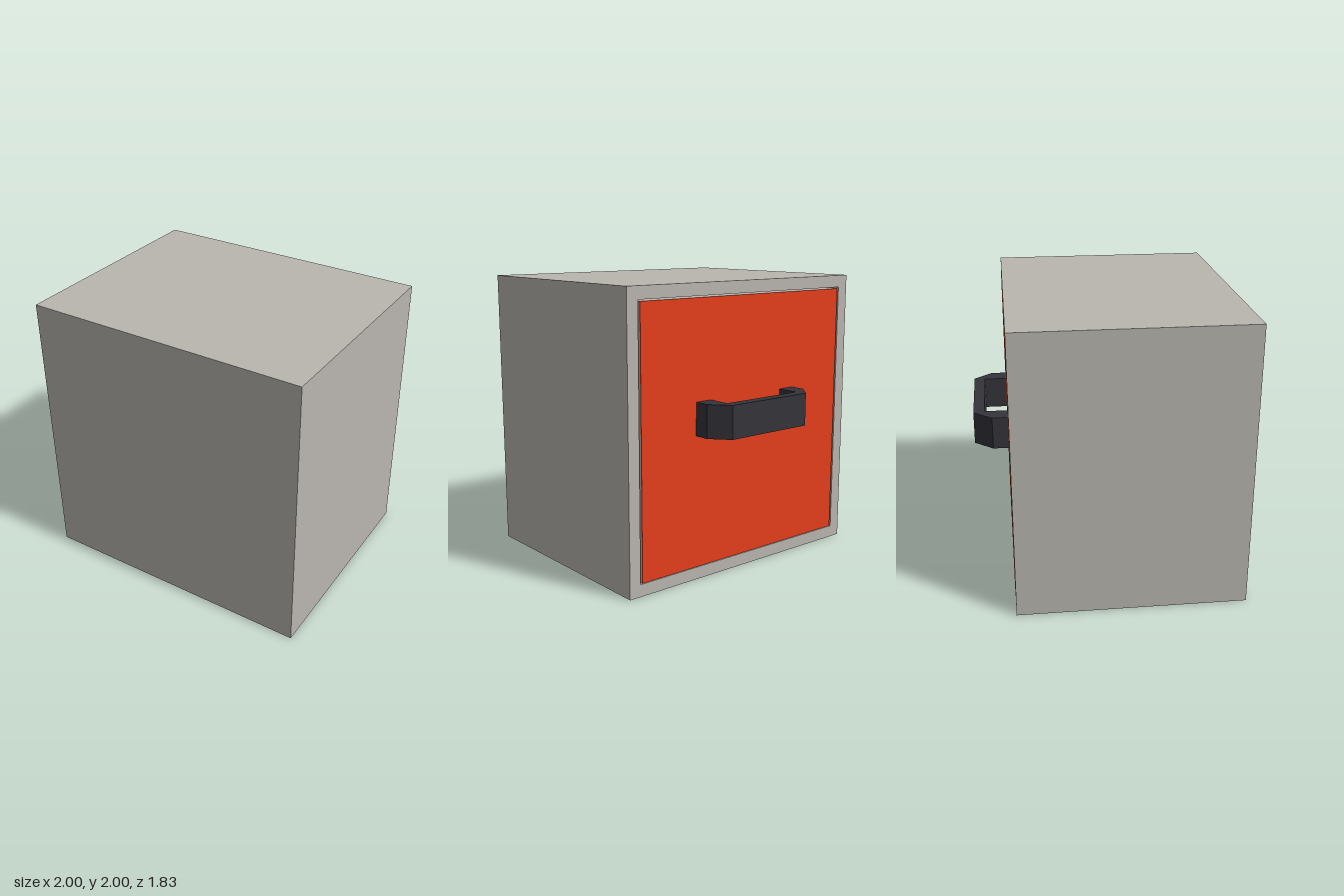
import * as THREE from 'three';

const FACE = -0.678; // plane of the drawer side
const FRONT = 0.914;

const rect = (Type, x, y0, y1) => {
  const path = new Type();
  path.moveTo(-x, y0);
  path.lineTo(x, y0);
  path.lineTo(x, y1);
  path.lineTo(-x, y1);
  path.closePath();
  return path;
};

export function createModel() {
  const group = new THREE.Group();
  const bodyGrey = new THREE.MeshStandardMaterial({ name: 'bodyGrey', color: 0xb9b6b0 });
  const drawerRed = new THREE.MeshStandardMaterial({ name: 'drawerRed', color: 0xe63e1b });
  const handleDark = new THREE.MeshStandardMaterial({ name: 'handleDark', color: 0x34343a });

  const add = (name, geometry, material) => {
    const mesh = new THREE.Mesh(geometry, material);
    mesh.name = name;
    group.add(mesh);
    return mesh;
  };

  // Cabinet: an open sleeve closed by a flush front plate
  const wall = rect(THREE.Shape, 1, 0, 2);
  wall.holes.push(rect(THREE.Path, 0.915, 0.085, 1.915));
  const sleeve = new THREE.ExtrudeGeometry(wall, { depth: FRONT - FACE, bevelEnabled: false });
  add('cabinetShell', sleeve.translate(0, 0, FACE), bodyGrey);
  const wallThickness = 0.085;
  add('cabinetFront', new THREE.BoxGeometry(1.83, 1.83, wallThickness), bodyGrey)
    .position.set(0, 1, FRONT - wallThickness / 2);

  // Grey drawer box in the opening, faced with a thin red panel just proud of the rim
  const depth = 1.4;
  const panel = 0.006;
  const panelBack = FACE - 0.002 + panel;
  add('drawerBox', new THREE.BoxGeometry(1.8, 1.815, depth), bodyGrey)
    .position.set(0, 0.9975, panelBack + depth / 2);
  add('drawerPanel', new THREE.BoxGeometry(1.8, 1.815, panel), drawerRed)
    .position.set(0, 0.9975, panelBack - panel / 2);

  // Bracket handle with chamfered corners, outlined in plan and extruded upward
  const half = [[0.32, 0.67], [0.45, 0.67], [0.45, 0.787], [0.34, 0.914]];
  const outline = [
    ...half,
    ...half.map(([x, d]) => [-x, d]).reverse(),
    [-0.32, 0.837], [0.32, 0.837],
  ].map(([x, d]) => new THREE.Vector2(x, d));
  const grip = new THREE.ExtrudeGeometry(new THREE.Shape(outline), { depth: 0.227, bevelEnabled: false });
  grip.rotateX(-Math.PI / 2);
  add('handle', grip, handleDark).position.y = 1;

  return group;
}
